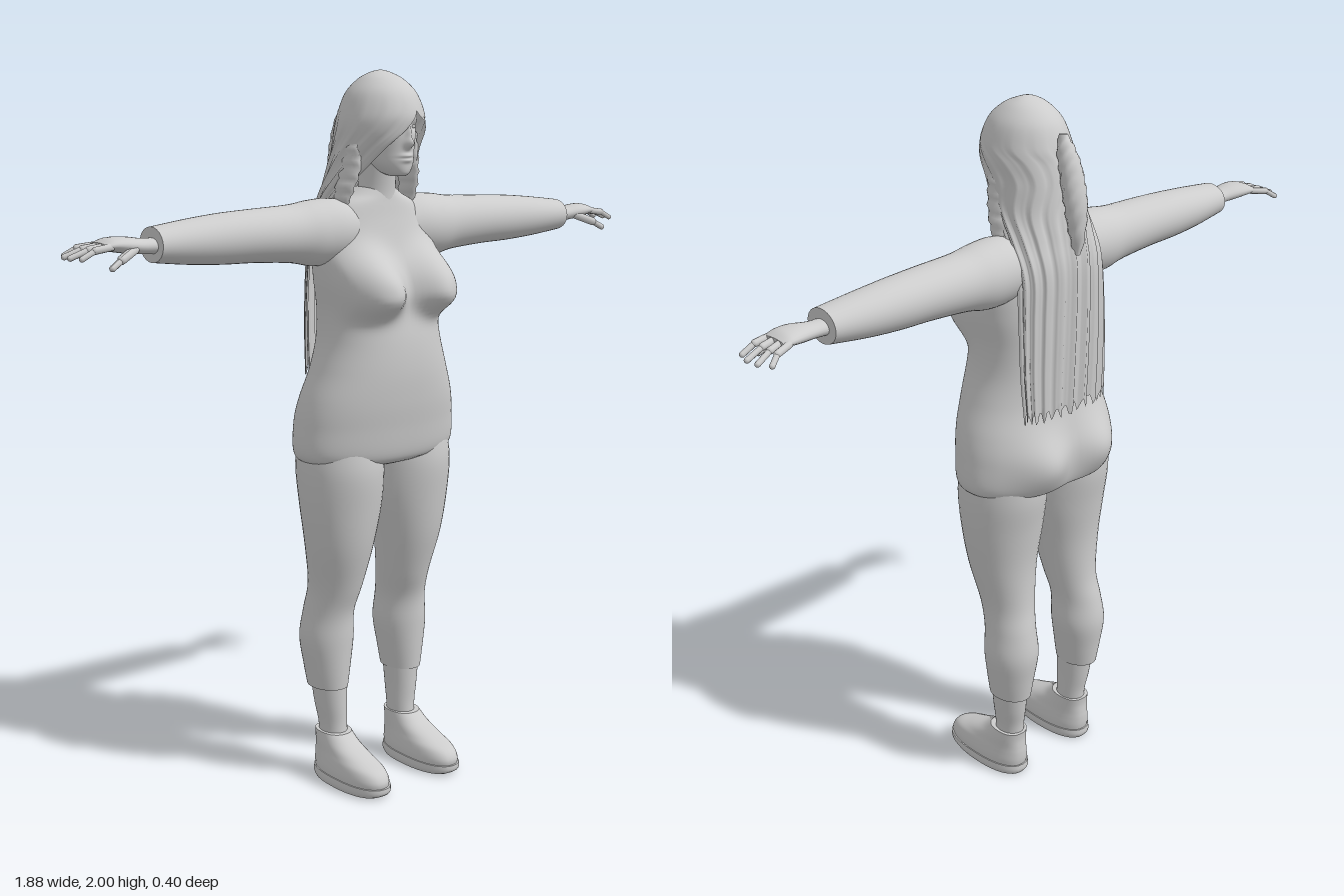
import * as THREE from 'three';

const skin = new THREE.MeshStandardMaterial({ color: 0xcccccc, side: THREE.DoubleSide });
skin.name = 'light grey';

// Smooth value between b and c (Catmull-Rom).
function blend(a, b, c, d, t) {
  const cubic = 3 * (b - c) + d - a;
  const square = 2 * a - 5 * b + 4 * c - d;
  return b + 0.5 * t * (c - a + t * (square + t * cubic));
}

// Resample a list of sections, smoothing every component.
function resample(rows, steps) {
  const out = [];
  for (let i = 0; i < rows.length - 1; i++) {
    const a = rows[Math.max(0, i - 1)], b = rows[i], c = rows[i + 1], d = rows[Math.min(rows.length - 1, i + 2)];
    for (let s = 0; s < steps; s++) {
      out.push(b.map((v, k) => blend(a[k], v, c[k], d[k], s / steps)));
    }
  }
  out.push(rows[rows.length - 1]);
  return out;
}

function makeGeometry(pos, idx) {
  const g = new THREE.BufferGeometry();
  g.setAttribute('position', new THREE.Float32BufferAttribute(pos, 3));
  g.setIndex(idx);
  g.computeVertexNormals();
  return g;
}

// Closed loft through ascending sections [y, centreX, radiusX, zFront, zBack].
function loft(rows, { n = 32, steps = 5, shape = null, power = 1 } = {}) {
  const secs = resample(rows, steps), pos = [], idx = [];
  const bend = (v) => Math.sign(v) * Math.abs(v) ** power;
  for (const [y, cx, rx, zf, zb] of secs) {
    for (let j = 0; j < n; j++) {
      const t = (j / n) * Math.PI * 2;
      const p = new THREE.Vector3(cx + rx * bend(Math.cos(t)), y, (zf + zb) / 2 + ((zf - zb) / 2) * bend(Math.sin(t)));
      if (shape) shape(p, Math.sin(t));
      pos.push(p.x, p.y, p.z);
    }
  }
  for (let i = 0; i < secs.length - 1; i++) {
    for (let j = 0; j < n; j++) {
      const a = i * n + j, b = i * n + ((j + 1) % n);
      idx.push(a, a + n, b, b, a + n, b + n);
    }
  }
  // end caps keep their own vertices so the rims stay crisp
  for (const end of [0, secs.length - 1]) {
    const base = pos.length / 3, s = secs[end];
    for (let j = 0; j < n * 3; j++) pos.push(pos[end * n * 3 + j]);
    pos.push(s[1], s[0], (s[3] + s[4]) / 2);
    for (let j = 0; j < n; j++) {
      const a = base + j, b = base + ((j + 1) % n);
      if (end) idx.push(a, base + n, b); else idx.push(a, b, base + n);
    }
  }
  return makeGeometry(pos, idx);
}

// Loft along +x from sections [x, centreY, radiusY, zFront, zBack].
const loftX = (rows, opt) => loft(rows.map(([x, cy, ...r]) => [x, -cy, ...r]), opt).rotateZ(-Math.PI / 2);

// Mirrored copy across x with its faces turned back outward.
function mirrored(geo) {
  const g = geo.clone().scale(-1, 1, 1), idx = Array.from(g.index.array);
  for (let i = 0; i < idx.length; i += 3) [idx[i], idx[i + 1]] = [idx[i + 1], idx[i]];
  g.setIndex(idx);
  g.computeVertexNormals();
  return g;
}

// Rounded rod between two points.
function rod(a, b, r) {
  const A = new THREE.Vector3(...a), d = new THREE.Vector3(...b).sub(A);
  const g = new THREE.CapsuleGeometry(r, d.length(), 5, 10);
  g.applyQuaternion(new THREE.Quaternion().setFromUnitVectors(new THREE.Vector3(0, 1, 0), d.clone().normalize()));
  const mid = A.addScaledVector(d, 0.5);
  return g.translate(mid.x, mid.y, mid.z);
}

const blob = (x, y, rx, ry) => Math.exp(-((x / rx) ** 2) - (y / ry) ** 2);

// Bust and seat swell out of the torso.
function bodyShape(p, s) {
  const ax = Math.abs(p.x);
  if (s > 0) {
    const dy = p.y - 1.415;
    const d = ((ax - 0.112) / 0.085) ** 2 + (dy / (dy > 0 ? 0.1 : 0.062)) ** 2;
    p.z += 0.093 * Math.exp(-(d ** 1.4)) * Math.min(1, s * 2.5);
  } else {
    p.z -= 0.05 * blob(ax - 0.105, p.y - 1.035, 0.085, 0.085) * Math.min(1, -s * 2);
  }
}

// Nose, eye sockets and lips on the head.
function faceShape(p, s) {
  if (s <= 0) return;
  const ax = Math.abs(p.x);
  p.z += 0.022 * blob(p.x, p.y - 1.808, 0.011, 0.013) + 0.01 * blob(p.x, p.y - 1.835, 0.009, 0.024);
  p.z -= 0.011 * blob(ax - 0.031, p.y - 1.852, 0.018, 0.012);
  p.z += 0.007 * blob(p.x, p.y - 1.776, 0.02, 0.006) + 0.006 * blob(p.x, p.y - 1.764, 0.017, 0.006);
  p.z -= 0.004 * blob(p.x, p.y - 1.77, 0.022, 0.002);
}

// Hair shell, open at the face: [y, radiusX, zFront, zBack, opening +x edge, opening -x edge].
function hairShell(rows, n = 72) {
  const secs = resample(rows, 6), pos = [], idx = [];
  const angle = (x, r) => Math.acos(THREE.MathUtils.clamp(x / r, -1, 1));
  secs.forEach(([y, rx, zf, zb, xMax, xMin], i) => {
    const t0 = angle(xMin, rx), t1 = angle(xMax, rx) + Math.PI * 2;
    const ridge = 0.004 * THREE.MathUtils.clamp((1.95 - y) / 0.3, 0, 1);
    for (let j = 0; j <= n; j++) {
      const t = t0 + ((t1 - t0) * j) / n;
      const k = ridge * (Math.sin(j * 0.9) + 0.6 * Math.sin(j * 2.1));
      const tip = i === 0 ? 0.018 * Math.sin(j * 1.3) : 0;
      pos.push((rx + k) * Math.cos(t), y + tip, (zf + zb) / 2 + ((zf - zb) / 2 + k) * Math.sin(t));
    }
  });
  for (let i = 0; i < secs.length - 1; i++) {
    for (let j = 0; j < n; j++) {
      const a = i * (n + 1) + j, c = a + n + 1;
      idx.push(a, c, a + 1, a + 1, c, c + 1);
    }
  }
  return makeGeometry(pos, idx);
}

export function createModel() {
  const model = new THREE.Group();
  model.name = 'standingFigure';
  const add = (name, geo) => {
    const m = new THREE.Mesh(geo, skin);
    m.name = name;
    model.add(m);
  };
  const pair = (name, geo) => {
    add(name + 'Left', geo);
    add(name + 'Right', mirrored(geo));
  };

  // torso
  add('torso', loft([
    [0.92, 0, 0.05, 0.05, -0.06], [0.94, 0, 0.2, 0.105, -0.13], [0.965, 0, 0.253, 0.13, -0.15],
    [1.05, 0, 0.25, 0.145, -0.155], [1.12, 0, 0.235, 0.155, -0.15], [1.2, 0, 0.205, 0.16, -0.14],
    [1.28, 0, 0.182, 0.155, -0.135], [1.36, 0, 0.178, 0.14, -0.13], [1.45, 0, 0.19, 0.12, -0.125],
    [1.53, 0, 0.19, 0.09, -0.12], [1.6, 0, 0.165, 0.07, -0.115], [1.645, 0, 0.13, 0.06, -0.1],
    [1.67, 0, 0.08, 0.055, -0.08], [1.69, 0, 0.05, 0.05, -0.06],
  ], { n: 96, steps: 8, shape: bodyShape, power: 0.92 }));

  // legs, ankles and shoes
  pair('leg', loft([
    [0.275, 0.137, 0.053, 0.015, -0.12], [0.34, 0.137, 0.064, 0.02, -0.13], [0.42, 0.136, 0.075, 0.025, -0.14],
    [0.5, 0.133, 0.068, 0.03, -0.13], [0.58, 0.125, 0.073, 0.055, -0.115], [0.7, 0.125, 0.095, 0.09, -0.112],
    [0.82, 0.122, 0.115, 0.11, -0.125], [0.92, 0.122, 0.12, 0.12, -0.14], [1, 0.12, 0.115, 0.11, -0.14],
  ], { n: 40 }));
  pair('ankle', loft([
    [0.1, 0.128, 0.036, 0.01, -0.085], [0.16, 0.128, 0.038, 0.006, -0.087], [0.22, 0.132, 0.043, 0.008, -0.098],
    [0.3, 0.135, 0.05, 0.01, -0.108],
  ]));
  pair('shoe', loft([
    [0.02, 0.13, 0.06, 0.188, -0.092], [0.045, 0.13, 0.061, 0.192, -0.096], [0.07, 0.13, 0.057, 0.172, -0.096],
    [0.09, 0.13, 0.052, 0.12, -0.094], [0.115, 0.13, 0.048, 0.058, -0.092], [0.14, 0.129, 0.044, 0.022, -0.094],
  ], { power: 0.85 }));
  pair('sole', loft([[0, 0.13, 0.06, 0.175, -0.092], [0.012, 0.13, 0.065, 0.195, -0.099], [0.03, 0.13, 0.064, 0.197, -0.098]],
    { steps: 3, power: 0.85 }));

  // sleeved arms
  pair('arm', loftX([
    [0.06, 1.57, 0.075, 0.05, -0.1], [0.14, 1.575, 0.088, 0.066, -0.11], [0.21, 1.573, 0.088, 0.064, -0.11],
    [0.28, 1.575, 0.077, 0.055, -0.102], [0.4, 1.577, 0.07, 0.052, -0.097], [0.5, 1.576, 0.066, 0.048, -0.093],
    [0.6, 1.575, 0.058, 0.045, -0.085], [0.71, 1.575, 0.045, 0.04, -0.07],
  ], { n: 40 }));

  // hands
  pair('palm', loftX([
    [0.68, 1.572, 0.021, 0.018, -0.045], [0.74, 1.574, 0.02, 0.017, -0.045], [0.79, 1.58, 0.021, 0.026, -0.06],
    [0.83, 1.583, 0.017, 0.024, -0.07], [0.855, 1.58, 0.009, 0.018, -0.068],
  ], { n: 24 }));
  const fingers = [[-0.062, 0.912, -0.092], [-0.037, 0.93, -0.06], [-0.012, 0.934, -0.024], [0.012, 0.922, 0.012]];
  for (const [z0, x1, z1] of fingers) {
    const knuckle = [0.885, 1.574, (z0 + z1) / 2];
    pair('fingerBase', rod([0.84, 1.58, z0], knuckle, 0.0095));
    pair('fingerTip', rod(knuckle, [x1, 1.556, z1], 0.0075));
  }
  pair('thumbBase', rod([0.775, 1.57, 0.012], [0.825, 1.55, 0.034], 0.012));
  pair('thumbTip', rod([0.825, 1.55, 0.034], [0.857, 1.532, 0.043], 0.0085));

  // neck and head
  add('neck', loft([[1.62, 0, 0.062, 0.06, -0.06], [1.68, 0, 0.05, 0.058, -0.052], [1.78, 0, 0.048, 0.07, -0.05]]));
  add('head', loft([
    [1.722, 0, 0.018, 0.118, 0.06], [1.732, 0, 0.034, 0.128, 0.03], [1.755, 0, 0.052, 0.132, 0],
    [1.79, 0, 0.064, 0.133, -0.05], [1.84, 0, 0.074, 0.136, -0.08], [1.89, 0, 0.078, 0.135, -0.085],
    [1.94, 0, 0.066, 0.1, -0.06], [1.97, 0, 0.03, 0.05, -0.01],
  ], { n: 120, steps: 12, shape: faceShape }));
  pair('eye', new THREE.SphereGeometry(1, 16, 10).scale(0.013, 0.006, 0.006).translate(0.031, 1.852, 0.113));

  // long hair falling behind the shoulders
  add('hair', hairShell([
    [1.18, 0.145, -0.1, -0.158, 0.144, -0.144], [1.3, 0.15, -0.08, -0.163, 0.149, -0.149],
    [1.45, 0.148, -0.06, -0.168, 0.147, -0.147], [1.58, 0.142, -0.03, -0.168, 0.141, -0.141],
    [1.66, 0.13, 0.035, -0.155, 0.122, -0.122], [1.73, 0.118, 0.09, -0.142, 0.095, -0.09],
    [1.8, 0.114, 0.135, -0.128, 0.1, -0.058], [1.85, 0.115, 0.149, -0.115, 0.078, -0.012],
    [1.89, 0.108, 0.148, -0.105, 0.021, 0.019], [1.94, 0.09, 0.125, -0.082, 0.02, 0.02],
    [1.975, 0.06, 0.085, -0.045, 0.01, 0.01], [1.993, 0.03, 0.045, -0.008, 0, 0], [2, 0.002, 0.022, 0.018, 0, 0],
  ]));
  // curled locks beside the face
  pair('sideLock', loft([
    [1.63, 0.116, 0.01, 0.012, -0.03], [1.68, 0.113, 0.019, 0.035, -0.03], [1.74, 0.102, 0.018, 0.055, -0.02],
    [1.8, 0.1, 0.013, 0.055, 0], [1.84, 0.102, 0.006, 0.045, 0.02],
  ], { n: 16, shape: (p) => { p.x += 0.004 * Math.sin(p.y * 190); } }));
  // gathered tail at the back of the head
  add('ponytail', loft([
    [1.62, 0, 0.008, -0.16, -0.18], [1.68, 0, 0.022, -0.145, -0.19], [1.76, 0, 0.032, -0.13, -0.19],
    [1.84, 0, 0.03, -0.112, -0.172], [1.89, 0, 0.022, -0.1, -0.15], [1.925, 0, 0.008, -0.105, -0.125],
  ], { n: 24, shape: (p) => { p.x += 0.003 * Math.sin(p.y * 120 + p.z * 200); } }));

  return model;
}
